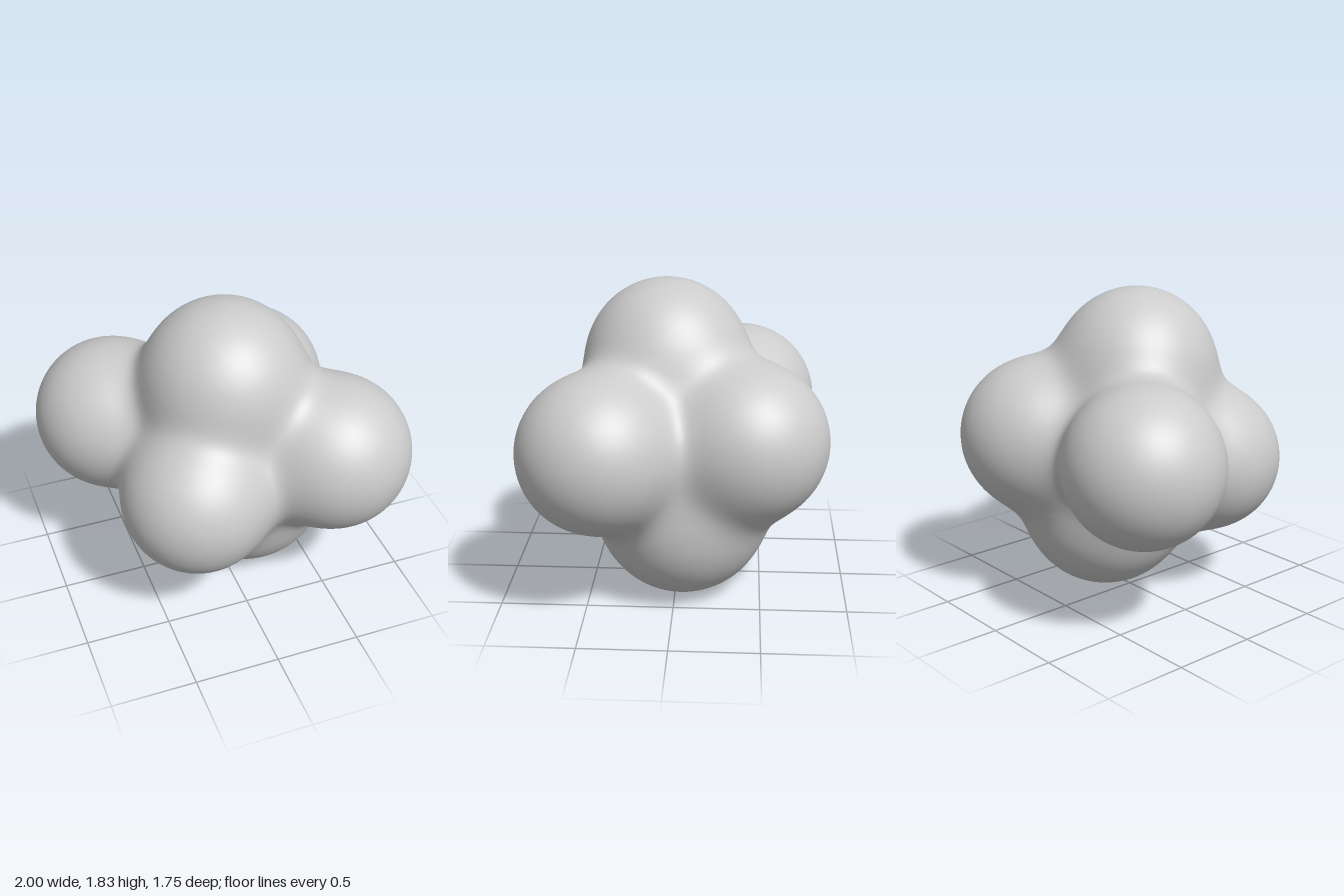
import * as THREE from 'three';
import { mergeVertices } from 'three/addons/utils/BufferGeometryUtils.js';

// Lobes of the blob: centre x, y, z and radius
const lobes = [
  [0.01, 1.36, 0.06, 0.47],   // top
  [0.18, 0.5, -0.04, 0.5],    // bottom
  [0.55, 0.96, 0.42, 0.45],   // front left
  [-0.27, 0.81, 0.38, 0.43],  // front right
  [0.34, 0.97, -0.42, 0.455], // back left
  [-0.55, 0.97, -0.37, 0.45], // back right
  [0.03, 0.9, 0, 0.42],       // core
].map(([x, y, z, r]) => ({ centre: new THREE.Vector3(x, y, z), r }));

const BLEND = 0.08;

// Distance to the smoothly merged lobes
function distance(p) {
  let sum = 0;
  for (const { centre, r } of lobes) sum += Math.exp((r - p.distanceTo(centre)) / BLEND);
  return -BLEND * Math.log(sum);
}

// A fine sphere shrunk inwards along its rays until it rests on the lobes
function blobGeometry() {
  const base = new THREE.IcosahedronGeometry(1, 40);
  base.deleteAttribute('uv');
  base.deleteAttribute('normal');
  const geometry = mergeVertices(base, 1e-5);
  const origin = new THREE.Vector3(0.03, 0.9, 0);
  const position = geometry.attributes.position;
  const dir = new THREE.Vector3();
  const p = new THREE.Vector3();
  for (let i = 0; i < position.count; i++) {
    dir.fromBufferAttribute(position, i).normalize();
    let t = 1.6;
    for (let step = 0; step < 80; step++) {
      const d = distance(p.copy(origin).addScaledVector(dir, t));
      if (d < 0.0005) break;
      t -= d;
    }
    position.setXYZ(i, p.x, p.y, p.z);
  }
  geometry.computeVertexNormals();
  return geometry;
}

export function createModel() {
  const group = new THREE.Group();
  const blob = new THREE.Mesh(blobGeometry(), new THREE.MeshStandardMaterial({ color: 0xcccccc }));
  blob.name = 'blob';
  group.add(blob);
  return group;
}
